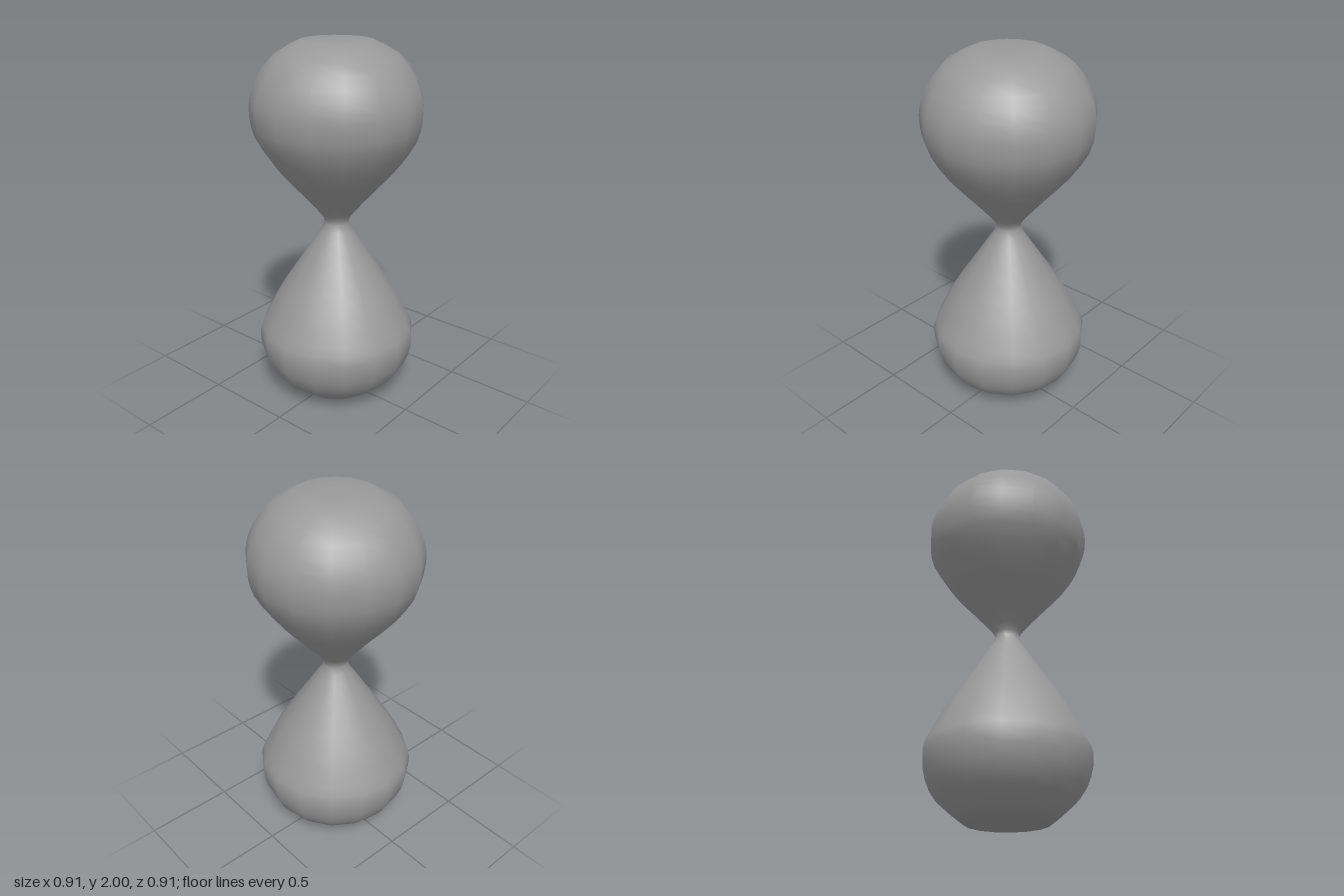
import * as THREE from 'three';

export function createModel() {
  const group = new THREE.Group();

  // Curved wall from the base rim, through the neck, to the top rim: [radius, height]
  const wall = new THREE.SplineCurve([
    [0.22, 0], [0.36, 0.115], [0.425, 0.23], [0.443, 0.355], [0.408, 0.445],   // lower bulb
    [0.333, 0.59], [0.215, 0.775], [0.115, 0.93],
    [0.068, 1.015], [0.095, 1.075],                                            // narrow neck
    [0.212, 1.21], [0.335, 1.35], [0.43, 1.5], [0.455, 1.615],                 // upper bulb
    [0.45, 1.71], [0.41, 1.815], [0.325, 1.925], [0.19, 1.997],
  ].map(([r, y]) => new THREE.Vector2(r, y)));

  // Close the wall with a flat base and a flattened top
  const profile = [
    new THREE.Vector2(0, 0),
    ...wall.getPoints(34),
    new THREE.Vector2(0.085, 2),
    new THREE.Vector2(0, 2),
  ];

  // Sixteen-sided, smoothly shaded glass
  const glass = new THREE.Mesh(
    new THREE.LatheGeometry(profile, 16),
    new THREE.MeshStandardMaterial({ color: 0x999999 })
  );
  glass.name = 'hourglassBulbs';
  group.add(glass);

  return group;
}
